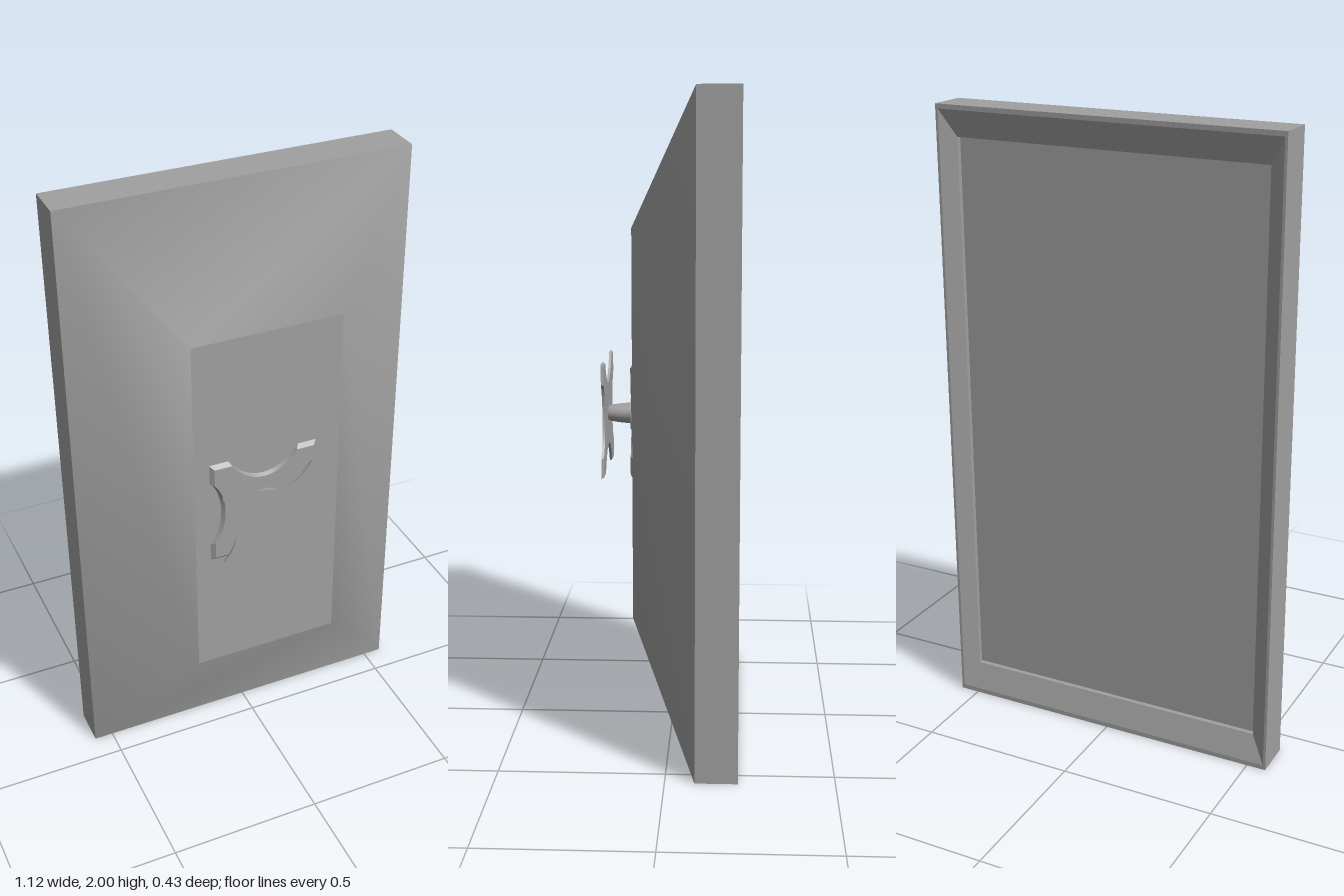
import * as THREE from 'three';
import { toCreasedNormals } from 'three/addons/utils/BufferGeometryUtils.js';

const W = 0.5625, H = 1;
const MOUNT_X = -0.015;

// Rectangle loop, counter-clockwise seen from +z
function ring(hx, hy, z) {
  return [[-hx, -hy, z], [hx, -hy, z], [hx, hy, z], [-hx, hy, z]];
}

// Four-sided band between two rectangle loops
function band(from, to, smooth) {
  const g = new THREE.BufferGeometry();
  g.setAttribute('position', new THREE.Float32BufferAttribute([...from, ...to].flat(), 3));
  const index = [];
  for (let i = 0; i < 4; i++) {
    const j = (i + 1) % 4;
    index.push(i, j, 4 + j, i, 4 + j, 4 + i);
  }
  g.setIndex(index);
  const out = smooth ? g : g.toNonIndexed();
  out.computeVertexNormals();
  return out;
}

// Square bracket plate with a curved notch in every side; one end can be narrower
function plateGeometry(half, notchX, notchY, depth, backScale, frontScale) {
  const a = 0.117;
  const s = new THREE.Shape();
  s.moveTo(-half, -half);
  s.lineTo(-a, -half);
  s.bezierCurveTo(-a * 0.45, -notchY, a * 0.45, -notchY, a, -half);
  s.lineTo(half, -half);
  s.lineTo(half, -a);
  s.bezierCurveTo(notchX, -a * 0.55, notchX, a * 0.55, half, a);
  s.lineTo(half, half);
  s.lineTo(a, half);
  s.bezierCurveTo(a * 0.45, notchY, -a * 0.45, notchY, -a, half);
  s.lineTo(-half, half);
  s.lineTo(-half, a);
  s.bezierCurveTo(-notchX, a * 0.55, -notchX, -a * 0.55, -half, -a);
  s.closePath();
  const g = new THREE.ExtrudeGeometry(s, { depth, bevelEnabled: false, curveSegments: 14 });
  const p = g.attributes.position;
  for (let i = 0; i < p.count; i++) {
    const k = p.getZ(i) > depth / 2 ? frontScale : backScale;
    p.setXY(i, p.getX(i) * k, p.getY(i) * k);
  }
  return toCreasedNormals(g, 0.6);
}

export function createModel() {
  const model = new THREE.Group();
  const grey = new THREE.MeshStandardMaterial({ color: 0xa0a0a0 });
  grey.name = 'grey';

  function add(parent, name, geometry, x = 0, y = 0, z = 0) {
    const m = new THREE.Mesh(geometry, grey);
    m.name = name;
    m.position.set(x, y, z);
    parent.add(m);
    return m;
  }

  // Housing: loops from the recessed screen, over the frame, to the tapered shell
  const housing = new THREE.Group();
  housing.name = 'housing';
  housing.position.y = 1;
  model.add(housing);
  const loops = [
    ring(W * 0.9, H * 0.9, -0.172),
    ring(W * 0.9, H * 0.9, -0.187),
    ring(W * 0.985, H * 0.985, -0.215),
    ring(W, H, -0.215),
    ring(W, H, -0.088),
    ring(0.245, 0.6, 0.113),
  ];
  const names = ['screenLip', 'frameBevel', 'frameRim', 'frameSides', 'taperedShell'];
  names.forEach((name, i) => add(housing, name, band(loops[i], loops[i + 1], i === 4)));

  const screen = add(housing, 'screen', new THREE.PlaneGeometry(W * 1.8, H * 1.8), 0, 0, -0.172);
  screen.rotation.y = Math.PI;
  add(housing, 'mountingPanel', new THREE.PlaneGeometry(0.49, 1.2), 0, 0, 0.113);

  // Bracket: two notched plates joined by a short arm
  const bracket = new THREE.Group();
  bracket.name = 'bracket';
  bracket.position.set(MOUNT_X, 1, 0);
  model.add(bracket);
  add(bracket, 'housingPlate', plateGeometry(0.18, 0.13, 0.083, 0.012, 1, 0.93), 0, 0, 0.113);
  add(bracket, 'wallPlate', plateGeometry(0.18, 0.118, 0.075, 0.008, 0.97, 1), 0, 0, 0.207);

  const flange = new THREE.CylinderGeometry(0.053, 0.053, 0.01, 32).rotateX(Math.PI / 2);
  add(bracket, 'armFlange', flange, 0, 0, 0.13);

  const profile = [[0.038, 0.134], [0.036, 0.155], [0.033, 0.18], [0.029, 0.2], [0.026, 0.208]];
  const arm = new THREE.LatheGeometry(profile.map(([r, z]) => new THREE.Vector2(r, z)), 32);
  arm.rotateX(Math.PI / 2).scale(1, 0.88, 1);
  add(bracket, 'arm', arm);

  return model;
}
